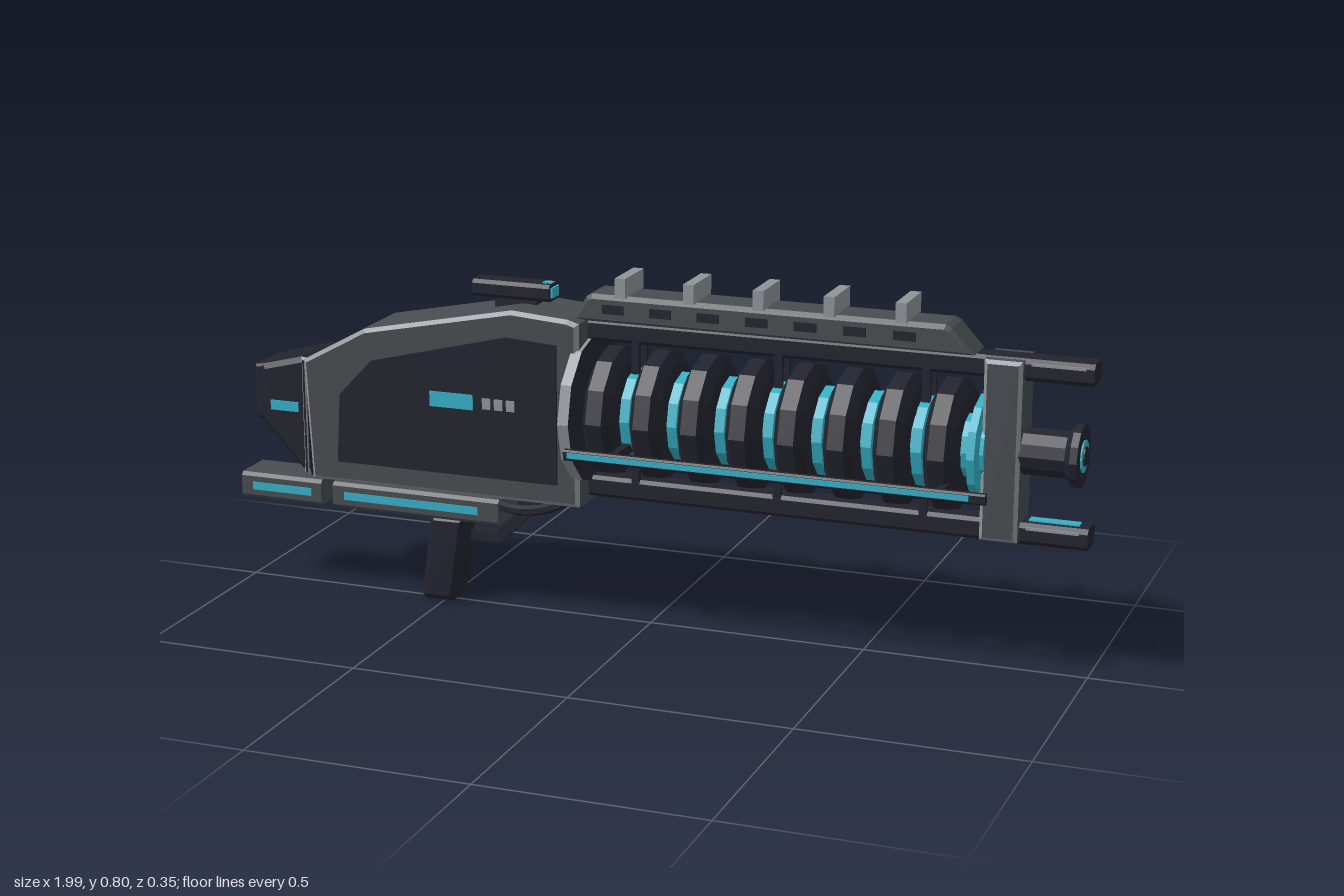
import * as THREE from 'three';

const paint = (name, color) => {
  const m = new THREE.MeshStandardMaterial({ color, flatShading: true });
  m.name = name;
  return m;
};

export function createModel() {
  const model = new THREE.Group();
  model.name = 'coilRifle';
  const dark = paint('dark polymer', 0x23232f);
  const grey = paint('gunmetal', 0x484c50);
  const light = paint('worn steel', 0x8f9499);
  const teal = paint('teal glow', 0x35b0c6);
  const CY = 0.493, CZ = -0.007; // barrel axis

  const add = (name, geo, mat, parent = model) => {
    const mesh = new THREE.Mesh(geo, mat);
    mesh.name = name;
    parent.add(mesh);
    return mesh;
  };
  const group = (name) => {
    const g = new THREE.Group();
    g.name = name;
    model.add(g);
    return g;
  };

  // Plain box given by its limits
  const box = (name, mat, x0, x1, y0, y1, z0, z1, parent) => {
    const geo = new THREE.BoxGeometry(x1 - x0, y1 - y0, z1 - z0);
    geo.translate((x0 + x1) / 2, (y0 + y1) / 2, (z0 + z1) / 2);
    return add(name, geo, mat, parent);
  };

  // Bar along x with chamfered long edges
  const bar = (name, mat, x0, x1, y0, y1, z0, z1, c, parent) => {
    const s = new THREE.Shape([
      [-z1 + c, y0], [-z0 - c, y0], [-z0, y0 + c], [-z0, y1 - c],
      [-z0 - c, y1], [-z1 + c, y1], [-z1, y1 - c], [-z1, y0 + c],
    ].map((p) => new THREE.Vector2(...p)));
    const geo = new THREE.ExtrudeGeometry(s, { depth: x1 - x0, bevelEnabled: false });
    geo.rotateY(Math.PI / 2).translate(x0, 0, 0);
    return add(name, geo, mat, parent);
  };

  // Side outline extruded along z; the bevel faces can take an edge colour
  const slab = (name, pts, z0, z1, bevel, mat, edge = mat, parent = model) => {
    const s = new THREE.Shape(pts.map((p) => new THREE.Vector2(...p)));
    const geo = new THREE.ExtrudeGeometry(s, {
      depth: z1 - z0 - 2 * bevel, bevelEnabled: bevel > 0, bevelSegments: 1,
      bevelSize: bevel, bevelThickness: bevel, bevelOffset: -bevel,
    });
    geo.translate(0, 0, z0 + bevel);
    geo.clearGroups();
    const n = geo.attributes.normal;
    for (let i = 0; i < n.count; i += 3) {
      const nz = Math.abs(n.getZ(i));
      geo.addGroup(i, 3, nz > 0.2 && nz < 0.95 ? 1 : 0);
    }
    return add(name, geo, [mat, edge], parent);
  };

  // Cylinder or lathe lying along x
  const alongX = (name, geo, mat, x, parent) => {
    geo.rotateZ(-Math.PI / 2).translate(x, CY, CZ);
    return add(name, geo, mat, parent);
  };
  const disc = (name, mat, r, x0, x1, sides = 12, parent = model) =>
    alongX(name, new THREE.CylinderGeometry(r, r, x1 - x0, sides), mat, (x0 + x1) / 2, parent);

  // Receiver and its painted side panel
  slab('receiver', [[-0.8, 0.28], [-0.14, 0.28], [-0.14, 0.7], [-0.165, 0.708], [-0.3, 0.718],
    [-0.66, 0.645], [-0.815, 0.56]], -0.095, 0.083, 0.009, grey, light);
  slab('sidePanel', [[-0.73, 0.33], [-0.19, 0.33], [-0.19, 0.65], [-0.31, 0.658], [-0.64, 0.575],
    [-0.72, 0.49]], 0.08, 0.089, 0, dark);
  box('panelDisplay', teal, -0.495, -0.39, 0.485, 0.52, 0.086, 0.092);
  for (let i = 0; i < 3; i++) {
    box('panelButton', light, -0.367 + i * 0.029, -0.347 + i * 0.029, 0.49, 0.515, 0.086, 0.092);
  }

  // Rear cap, end plate and its light
  slab('rearCap', [[-0.93, 0.4], [-0.83, 0.292], [-0.8, 0.285], [-0.8, 0.555], [-0.825, 0.562],
    [-0.93, 0.535]], -0.088, 0.07, 0.012, dark, dark);
  slab('rearCapTrim', [[-0.826, 0.288], [-0.81, 0.282], [-0.81, 0.561], [-0.826, 0.564]],
    -0.09, 0.073, 0.006, dark, light);
  slab('rearPlate', [[-0.953, 0.405], [-0.925, 0.4], [-0.925, 0.535], [-0.953, 0.53]],
    -0.07, 0.055, 0.006, dark, dark);
  box('rearLight', teal, -0.905, -0.835, 0.432, 0.455, 0.066, 0.073);

  // Stock and lower rail, lit on the left side
  for (const [name, x0, x1, a, b] of [
    ['stock', -1, -0.795, -0.97, -0.82], ['lowerRail', -0.765, -0.35, -0.735, -0.4]]) {
    bar(name, grey, x0, x1, 0.205, 0.266, -0.063, 0.05, 0.008);
    box(name + 'Light', teal, a, b, 0.227, 0.245, 0.046, 0.053);
  }
  box('railMount', grey, -0.74, -0.37, 0.25, 0.285, -0.045, 0.032);

  // Grip and trigger guard
  slab('grip', [[-0.555, 0.01], [-0.545, 0.002], [-0.48, 0.002], [-0.468, 0.015], [-0.44, 0.21],
    [-0.53, 0.21]], -0.047, 0.034, 0.014, dark);
  slab('triggerGuard', [[-0.435, 0.153], [-0.362, 0.153], [-0.27, 0.245], [-0.27, 0.285],
    [-0.3, 0.285], [-0.3, 0.25], [-0.375, 0.175], [-0.435, 0.175]], -0.023, 0.011, 0, dark);
  const cable = new THREE.CatmullRomCurve3([[-0.36, 0.25, 0.03], [-0.3, 0.25, 0.052],
    [-0.23, 0.262, 0.055], [-0.17, 0.29, 0.045]].map((p) => new THREE.Vector3(...p)));
  add('cable', new THREE.TubeGeometry(cable, 10, 0.012, 6), dark);

  // Sight above the receiver
  bar('sight', dark, -0.42, -0.235, 0.727, 0.766, -0.043, 0.016, 0.008);
  box('sightPost', dark, -0.37, -0.27, 0.69, 0.73, -0.03, 0.003);
  box('sightLens', teal, -0.236, -0.23, 0.735, 0.758, -0.033, 0.006);
  box('sightGlow', teal, -0.258, -0.236, 0.76, 0.768, -0.024, -0.003);

  // Collar where the barrel meets the receiver
  disc('collar', [light, dark, dark], 0.17, -0.157, -0.132);

  // Glowing core with accelerator coils
  const barrel = group('barrel');
  disc('core', teal, 0.07, -0.14, 0.77, 12, barrel);
  const profile = [[0.06, -0.034], [0.12, -0.034], [0.146, -0.018], [0.146, 0.018],
    [0.12, 0.034], [0.06, 0.034]].map((p) => new THREE.Vector2(...p));
  for (let i = 0; i < 8; i++) {
    const x = -0.083 + i * 0.11;
    alongX('coil', new THREE.LatheGeometry(profile, 12), dark, x, barrel);
    if (i < 7) disc('glowRing', teal, 0.1, x + 0.044, x + 0.066, 12, barrel);
  }
  disc('endGlow', teal, 0.115, 0.745, 0.762, 12, barrel);

  // Upper and lower rails ending in prongs with inner lights
  for (const [y0, y1, inner] of [[0.652, 0.7, 0.652], [0.293, 0.341, 0.341]]) {
    bar('railSpine', dark, -0.14, 0.77, y0, y1, -0.037, 0.023, 0.008);
    bar('prong', dark, 0.76, 0.993, y0, y1, -0.041, 0.028, 0.01);
    box('prongLight', teal, 0.86, 0.97, inner - 0.003, inner + 0.003, -0.02, 0.006);
    for (const z of [-0.041, 0.028]) {
      box('prongTrim', light, 0.86, 0.975, y1 - 0.013, y1 - 0.007, z - 0.002, z + 0.002);
    }
  }
  for (const x of [-0.028, 0.302, 0.632]) {
    for (const z of [-0.037, 0.011]) box('strut', dark, x - 0.009, x + 0.009, 0.32, 0.67, z, z + 0.012);
  }

  // Front bracket
  slab('frontBracket', [[0.762, 0.3], [0.845, 0.3], [0.845, 0.697], [0.762, 0.697]],
    -0.064, 0.049, 0.008, grey, light);

  // Muzzle with a glowing bore
  disc('muzzle', dark, 0.052, 0.84, 0.95);
  alongX('muzzleFlare', new THREE.CylinderGeometry(0.069, 0.052, 0.015, 12), dark, 0.9475);
  disc('muzzleFlange', dark, 0.069, 0.954, 0.97);
  disc('boreGlow', teal, 0.036, 0.965, 0.973);
  disc('bore', dark, 0.022, 0.968, 0.976);

  // Top shroud with vents and cooling fins
  slab('topShroud', [[-0.168, 0.7], [0.738, 0.7], [0.688, 0.755], [0.675, 0.762], [-0.125, 0.762],
    [-0.138, 0.755]], -0.057, 0.043, 0.01, grey);
  for (let i = 0; i < 7; i++) {
    const x = -0.072 + i * 0.11;
    for (const z of [-0.057, 0.043]) {
      box('vent', dark, x - 0.025, x + 0.025, 0.721, 0.741, z - 0.003, z + 0.003);
    }
  }
  for (let i = 0; i < 5; i++) {
    const x = -0.053 + i * 0.1585;
    box('coolingFin', light, x - 0.012, x + 0.012, 0.76, 0.804, -0.064, 0.051);
  }

  // Side conduit with a light strip and its brackets
  bar('conduit', dark, -0.14, 0.805, 0.417, 0.441, 0.155, 0.173, 0.004);
  box('conduitLight', teal, -0.13, 0.77, 0.424, 0.436, 0.17, 0.176);
  for (const x of [-0.028, 0.705]) box('conduitBracket', dark, x - 0.008, x + 0.008, 0.418, 0.44, 0.02, 0.16);

  return model;
}
